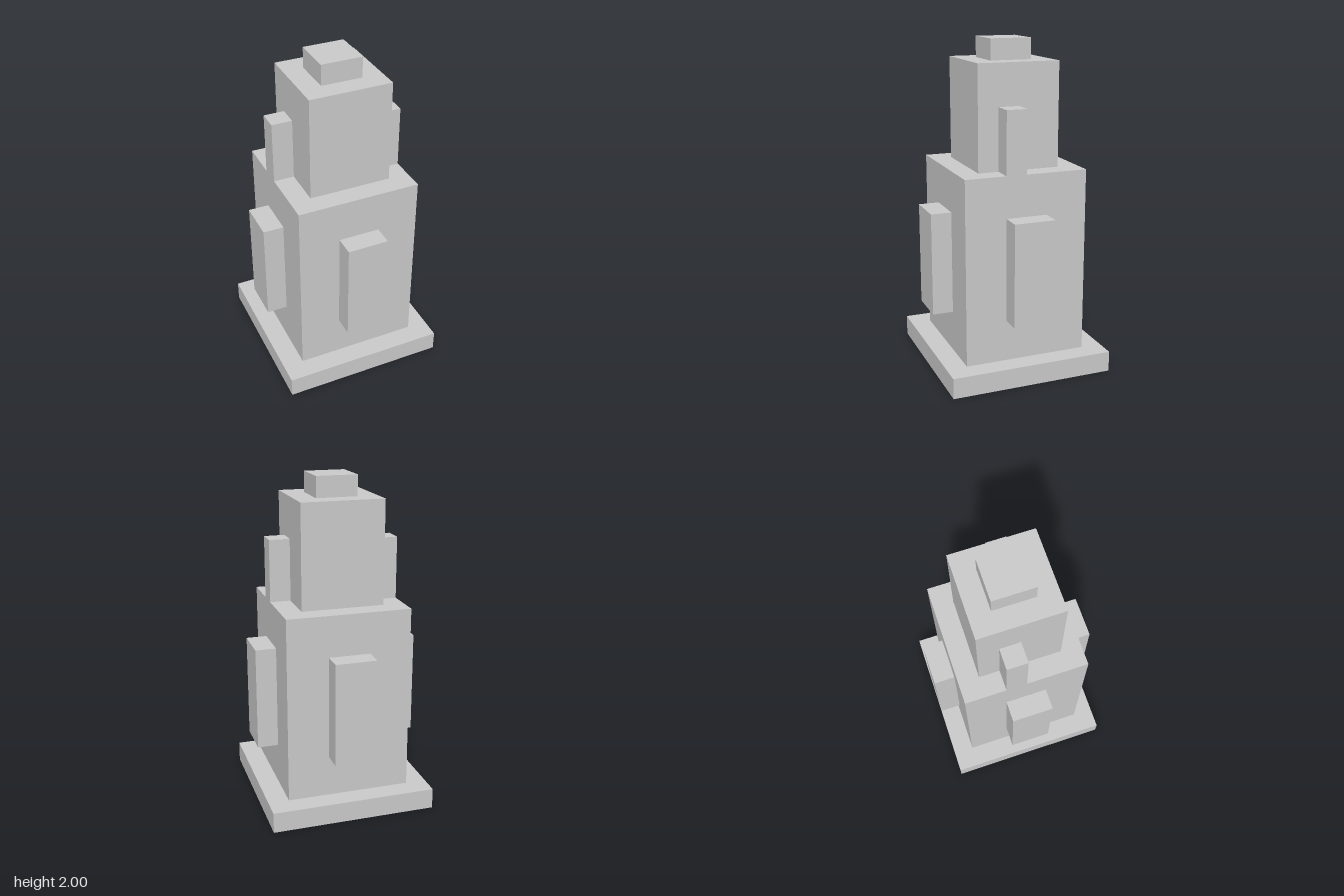
import * as THREE from 'three';

export function createModel() {
  const model = new THREE.Group();
  model.name = 'steppedTower';
  const material = new THREE.MeshStandardMaterial({ color: 0xcccccc, flatShading: true });

  // Box given by its size, the height of its underside and its centre in plan
  function block(name, w, h, d, bottom, x = 0, z = 0) {
    const mesh = new THREE.Mesh(new THREE.BoxGeometry(w, h, d), material);
    mesh.name = name;
    mesh.position.set(x, bottom + h / 2, z);
    model.add(mesh);
    return mesh;
  }

  // Stacked square tiers
  block('base', 1, 0.125, 1, 0);
  block('body', 0.75, 1.125, 0.75, 0.125);
  block('upperTier', 0.5, 0.625, 0.5, 1.25);
  block('cap', 0.25, 0.125, 0.25, 1.875);

  // One raised panel on each face of the body
  ['front', 'left', 'back', 'right'].forEach((side, i) => {
    const angle = (i * Math.PI) / 2;
    const panel = block(side + 'Panel', 0.25, 0.625, 0.125, 0.375,
      0.4375 * Math.sin(angle), 0.4375 * Math.cos(angle));
    panel.rotation.y = angle;
  });

  // Slim posts beside the upper tier, set half a turn apart
  for (const s of [1, -1]) {
    block(s > 0 ? 'leftPost' : 'rightPost', 0.125, 0.375, 0.125, 1.25, s * 0.3125, s * 0.0625);
  }

  return model;
}
